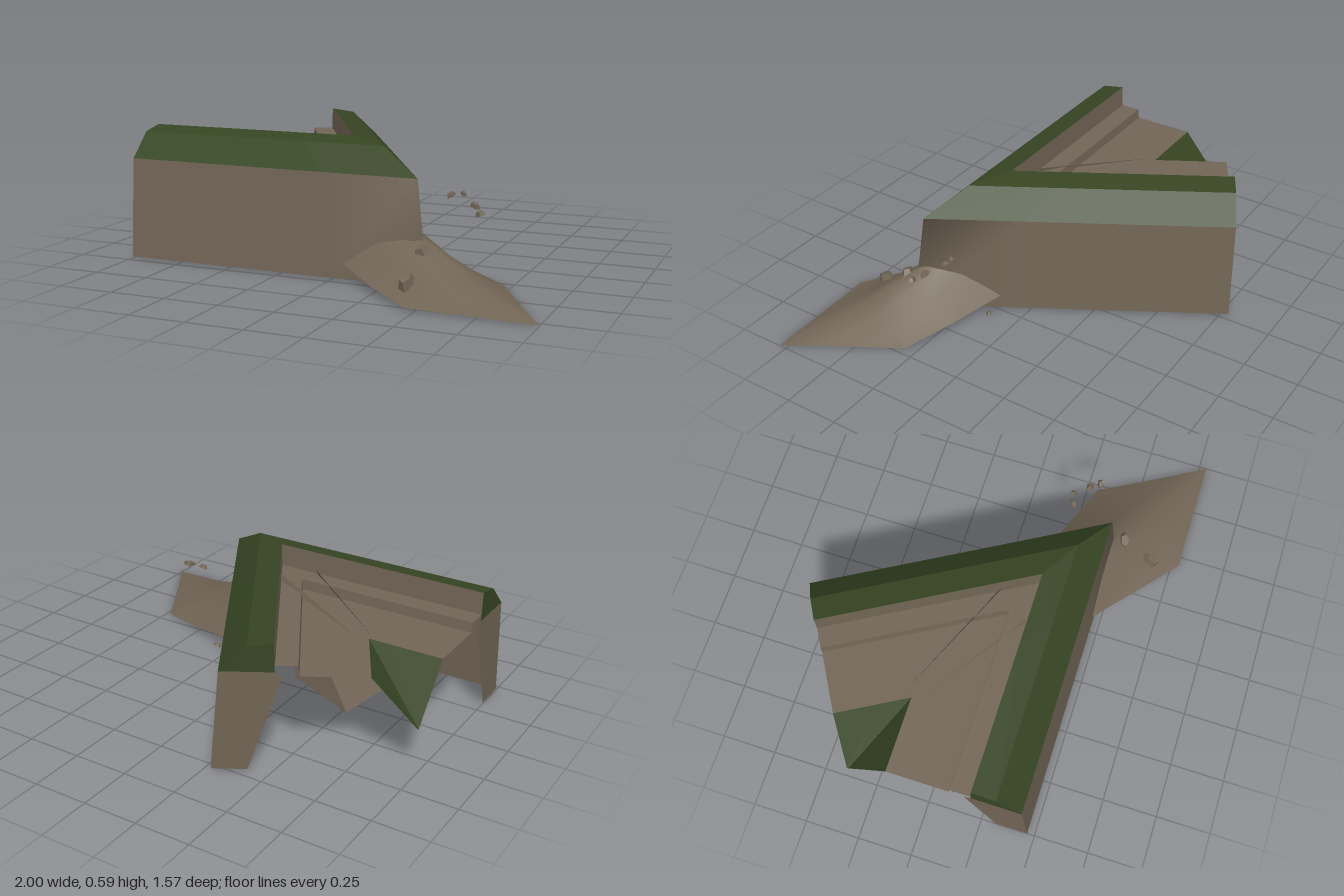
import * as THREE from 'three';

export function createModel() {
  const group = new THREE.Group();
  group.name = 'bastionCorner';
  const earth = new THREE.MeshStandardMaterial({ color: 0x716555, side: THREE.DoubleSide });
  earth.name = 'earth';
  const grass = new THREE.MeshStandardMaterial({ color: 0x364523, side: THREE.DoubleSide });
  grass.name = 'grass';

  const add = (name, geo, mat, parent = group) => {
    const mesh = new THREE.Mesh(geo, mat);
    mesh.name = name;
    parent.add(mesh);
    return mesh;
  };

  // Mesh from points and triangle indices, either smooth or faceted
  const build = (points, index, smooth) => {
    let geo = new THREE.BufferGeometry();
    geo.setAttribute('position', new THREE.Float32BufferAttribute(points.flat(), 3));
    geo.setIndex(index);
    if (!smooth) geo = geo.toNonIndexed();
    geo.computeVertexNormals();
    return geo;
  };

  // Grid of rows, each row an equal-length list of points
  const grid = (rows, smooth) => {
    const n = rows[0].length, index = [];
    for (let r = 0; r < rows.length - 1; r++) {
      for (let i = 0; i < n - 1; i++) {
        const a = r * n + i, b = a + 1, c = b + n, d = a + n;
        index.push(a, b, c, a, c, d);
      }
    }
    return build(rows.flat(), index, smooth);
  };

  // Plan of the two arms, offset inward by d and mitred at the 60 degree corner
  const frontEnd = (d, y) => [-1, y, 0.466 - d];
  const corner = (d, y) => [0.44 - 1.732 * d, y, 0.466 - d];
  const sideEnd = (d, y) => [-0.28 - 0.866 * d, y, -0.787 + 0.5 * d];
  const mix = (a, b, t) => a.map((v, i) => v + (b[i] - v) * t);
  const row = ([d, y]) => {
    const f = frontEnd(d, y), c = corner(d, y), s = sideEnd(d, y);
    return [f, mix(f, c, 0.68), c, mix(s, c, 0.68), s];
  };

  // Strips of the rampart profile: [name, from, to, material, smooth]
  [
    ['outerWall', [0, 0.005], [0.035, 0.455], earth, true],
    ['parapetFace', [0.035, 0.455], [0.148, 0.565], grass, false],
    ['parapetTop', [0.148, 0.565], [0.255, 0.585], grass, false],
    ['parapetInnerFace', [0.255, 0.585], [0.259, 0.485], earth, false],
    ['firingStep', [0.259, 0.485], [0.351, 0.485], earth, false],
    ['stepRiser', [0.351, 0.485], [0.356, 0.44], earth, false],
    ['walkway', [0.356, 0.44], [0.637, 0.44], earth, false],
    ['innerSlope', [0.637, 0.44], [0.831, 0.21], grass, false],
  ].forEach(([name, p, q, mat, smooth]) => add(name, grid([row(p), row(q)], smooth), mat));

  // Cut ends of both arms, and the bank below each walkway down to the ground
  const fan = (pts) => build(pts, pts.slice(2).flatMap((_, i) => [0, i + 1, i + 2]), false);
  const wallCut = [[0, 0.005], [0.035, 0.455], [0.259, 0.455], [0.29, 0.438], [0.15, 0.005]];
  const parapetCut = [[0.035, 0.455], [0.148, 0.565], [0.255, 0.585], [0.259, 0.455]];
  [['front', frontEnd, false], ['side', sideEnd, true]].forEach(([name, end, flip]) => {
    const face = (pts) => fan(flip ? pts.reverse() : pts);
    const cut = (profile) => face(profile.map(([d, y]) => end(d, y)));
    add(name + 'WallEnd', cut(wallCut), earth);
    add(name + 'ParapetEnd', cut(parapetCut), grass);
    add(name + 'LowerBank', face([corner(0.3, 0.436), corner(0.56, 0.005), end(0.34, 0.436)]), earth);
  });

  // Thin ridges running across the walkway towards the corner
  add('sideRidge', fan([[-0.65, 0.441, -0.21], [-0.08, 0.487, 0.05], [-0.09, 0.515, 0.06]]), earth);
  add('frontRidge', fan([[-0.665, 0.441, -0.145], [-0.2, 0.487, 0.2], [-0.197, 0.505, 0.196]]), earth);

  // Earth ramp spilling outward from the corner
  add('cornerRamp', grid([
    [[0.05, 0.07, 0.46], [0.2, 0.175, 0.45], [0.3, 0.21, 0.43], [0.4, 0.21, 0.44],
      [0.38, 0.21, 0.36], [0.31, 0.17, 0.27], [0.24, 0.07, 0.12]],
    [[0.25, 0.03, 0.62], [0.36, 0.1, 0.58], [0.44, 0.14, 0.55], [0.54, 0.15, 0.52],
      [0.53, 0.14, 0.43], [0.5, 0.1, 0.33], [0.48, 0.03, 0.21]],
    [[0.45, 0.01, 0.784], [0.53, 0.035, 0.72], [0.6, 0.06, 0.66], [0.68, 0.085, 0.6],
      [0.69, 0.065, 0.5], [0.7, 0.04, 0.4], [0.72, 0.005, 0.3]],
    [[0.45, 0.008, 0.785], [0.63, 0.005, 0.785], [0.81, 0.003, 0.785], [1, 0, 0.785],
      [0.9, 0.002, 0.62], [0.81, 0.003, 0.46], [0.72, 0.005, 0.3]],
  ], true), earth);

  // Loose flat stones: x, y, z, radius, turn
  const stones = new THREE.Group();
  stones.name = 'stones';
  group.add(stones);
  [
    [0.43, 0.172, 0.5, 0.042, 0.4], [0.415, 0.078, 0.65, 0.046, 1.4],
    [0.455, 0.36, 0.23, 0.022, 0.8], [0.51, 0.368, 0.22, 0.018, 2.4],
    [0.58, 0.333, 0.28, 0.024, 2.8], [0.615, 0.308, 0.32, 0.022, 0.2],
    [0.315, 0.012, 0.135, 0.018, 0.6],
  ].forEach(([x, y, z, r, turn], i) => {
    const geo = new THREE.CylinderGeometry(r * 0.65, r, r * 0.8, 5).toNonIndexed();
    geo.computeVertexNormals();
    const stone = add('stone' + (i + 1), geo, earth, stones);
    stone.position.set(x, y, z);
    stone.rotation.set(0.2, turn, 0.3);
    stone.scale.set(1.1, 1, 0.7);
  });

  return group;
}
